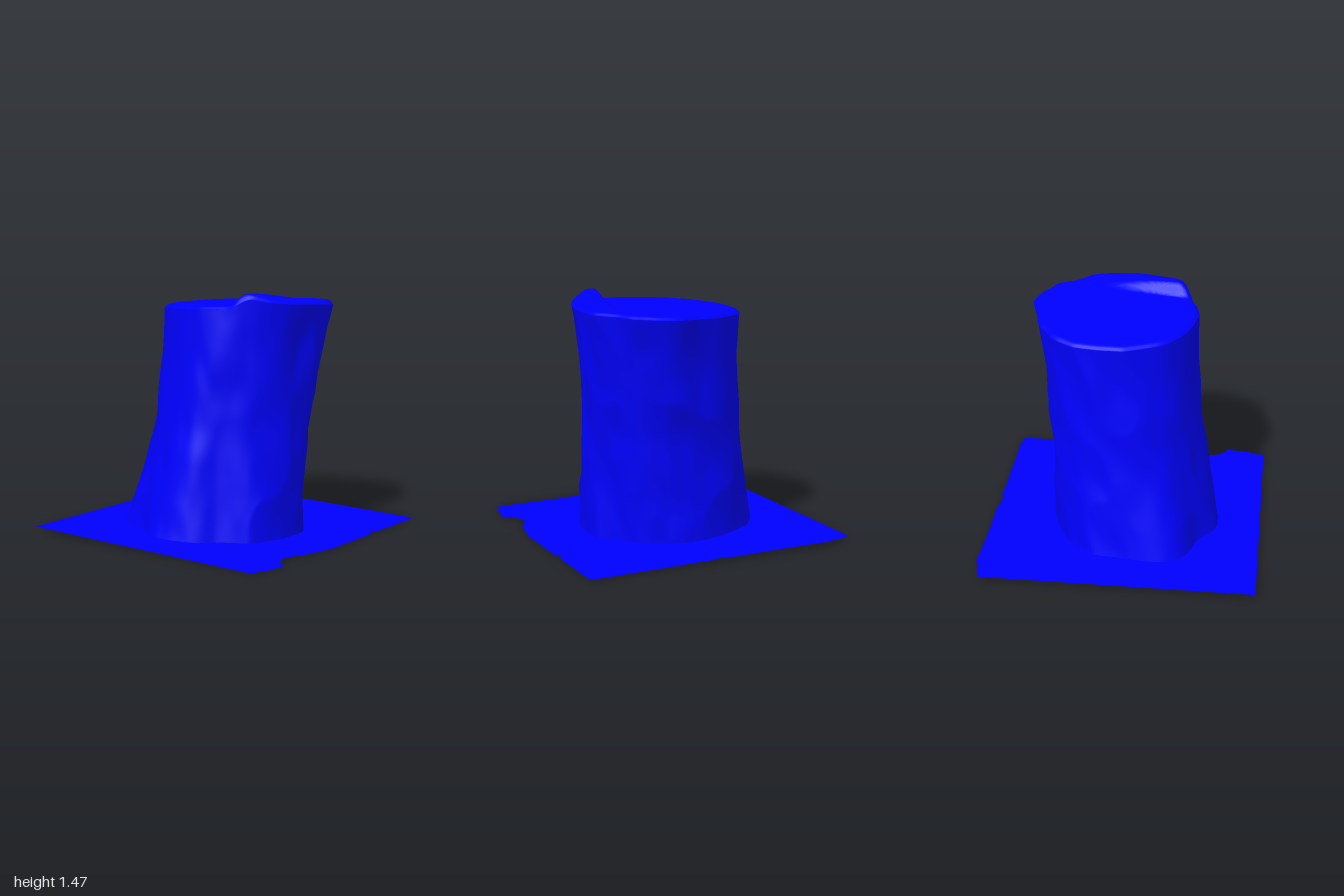
import * as THREE from 'three';

const SEG = 180, ROWS = 60, CAP = 26;
const { smoothstep, lerp } = THREE.MathUtils;

// Three guiding outlines: centre plus 16 radii, from the front round towards +x
const OUTLINES = [
  { x: 0, z: 0.05, r: [.52, .51, .48, .51, .53, .53, .52, .52, .51, .51, .53, .55, .54, .55, .58, .50] },
  { x: 0.035, z: -0.04, r: [.47, .48, .46, .48, .475, .48, .47, .47, .465, .46, .47, .48, .475, .475, .49, .475] },
  { x: 0.08, z: -0.13, r: [.51, .51, .51, .50, .49, .50, .49, .50, .51, .47, .475, .49, .50, .50, .51, .52] },
];

// Seeded value noise, periodic around the trunk
function hash(i, j, seed) {
  const s = Math.sin(i * 127.1 + j * 311.7 + seed * 74.7) * 43758.5453;
  return s - Math.floor(s);
}
function noise(u, v, period, seed) {
  const i = Math.floor(u), j = Math.floor(v);
  const a = smoothstep(u - i, 0, 1), b = smoothstep(v - j, 0, 1);
  const h = (p, q) => hash(((p % period) + period) % period, q, seed);
  return lerp(lerp(h(i, j), h(i + 1, j), a), lerp(h(i, j + 1), h(i + 1, j + 1), a), b);
}

// Bark relief: slanting ridges, broad lumps and fine streaks
function bark(a, v) {
  const lean = a + 0.07 * v;
  const ridge = 1 - Math.abs(2 * noise(lean * 13, v * 2.6, 13, 1) - 1);
  const lump = noise(lean * 22, v * 6, 22, 2) - 0.5;
  const streak = noise(lean * 45, v * 8, 45, 3) - 0.5;
  const rough = 0.55 + 0.45 * Math.cos((a - 0.35) * Math.PI * 2);
  return (0.03 * (ridge - 0.6) + 0.02 * lump + 0.009 * streak) * (0.5 + 0.6 * rough);
}

function radiusAt(r, a) {
  const f = a * 16, i = Math.floor(f), t = f - i;
  const [p, q, s, w] = [-1, 0, 1, 2].map(k => r[(i + k + 16) % 16]);
  return q + 0.5 * t * (s - p + t * (2 * p - 5 * q + 4 * s - w + t * (3 * (q - s) + w - p)));
}

// Horizontal position on the trunk at turn a (0..1) and height fraction v
function trunkPoint(a, v) {
  const w = [2 * (v - 0.5) * (v - 1), 4 * v * (1 - v), 2 * v * (v - 0.5)];
  const blend = f => w.reduce((sum, k, i) => sum + k * f(OUTLINES[i]), 0);
  const r = blend(o => radiusAt(o.r, a)) + bark(a, v);
  const t = a * Math.PI * 2;
  return [blend(o => o.x) + r * Math.sin(t), blend(o => o.z) + r * Math.cos(t)];
}

const groundHeight = x => 0.018 - 0.016 * x;

// Sawn face: nearly level, with a raised splinter on the left edge
function topHeight(x, z) {
  const along = z > 0.18 ? 1 - smoothstep(z, 0.18, 0.3) : 1 - 0.95 * smoothstep(z, -0.55, 0.18) < 0
    ? 1 : smoothstep(z, -0.45, 0.18);
  const across = smoothstep(x, 0.34, 0.4) * (1 - 0.6 * smoothstep(x, 0.42, 0.57));
  return 1.39 + 0.035 * x + 0.07 * along * across;
}

// Surface from rows of points that run round the trunk
function loft(rows, point) {
  const pos = [], index = [];
  for (let j = 0; j <= rows; j++)
    for (let i = 0; i < SEG; i++) pos.push(...point(i / SEG, j / rows));
  for (let j = 0; j < rows; j++)
    for (let i = 0; i < SEG; i++) {
      const a = j * SEG + i, b = j * SEG + (i + 1) % SEG;
      index.push(a, b, b + SEG, a, b + SEG, a + SEG);
    }
  const g = new THREE.BufferGeometry();
  g.setAttribute('position', new THREE.Float32BufferAttribute(pos, 3));
  g.setIndex(index);
  g.computeVertexNormals();
  return g;
}

export function createModel() {
  const group = new THREE.Group();
  const material = new THREE.MeshStandardMaterial({ color: 0x0000ff, side: THREE.DoubleSide });
  const add = (name, geometry) => {
    const mesh = new THREE.Mesh(geometry, material);
    mesh.name = name;
    group.add(mesh);
  };

  // Bark-covered trunk, open underneath
  add('trunk', loft(ROWS, (a, v) => {
    const [x, z] = trunkPoint(a, v);
    const [rx, rz] = trunkPoint(a, 1);
    return [x, lerp(groundHeight(x), topHeight(rx, rz) - 0.018, v), z];
  }));

  // Cut face with a softly rounded rim
  const centre = OUTLINES[2];
  add('cutTop', loft(CAP, (a, t) => {
    const [rx, rz] = trunkPoint(a, 1);
    const k = 1 - Math.pow(t, 1.4);
    const x = lerp(centre.x, rx, k), z = lerp(centre.z, rz, k);
    const drop = 0.018 * Math.pow(smoothstep(k, 0.93, 1), 2);
    return [x, topHeight(x, z) - drop, z];
  }));

  // Thin ground sheet with ragged edges and a hole under the trunk
  const edge = [
    [-1, -.61], [-.95, -.64], [-.92, -.65], [-.84, -.69], [-.6, -.735], [-.4, -.78], [-.25, -.815],
    [-.15, -.82], [-.1, -.845], [.58, -1], [.65, -1], [.75, -.57], [.73, -.54], [.77, -.5], [.84, -.2],
    [.87, -.08], [.87, .06], [.9, .07], [.86, .1], [.88, .15], [.85, .2], [.85, .28], [.9, .36],
    [.97, .38], [.985, .53], [.97, .58], [.99, .63], [-.62, 1],
  ];
  const sheet = new THREE.Shape(edge.map(([x, z]) => new THREE.Vector2(x, -z)));
  const hole = [];
  for (let i = 0; i < SEG; i++) {
    const [x, z] = trunkPoint(i / SEG, 0);
    hole.push(new THREE.Vector2(x, -z));
  }
  sheet.holes.push(new THREE.Path(hole));
  const ground = new THREE.ShapeGeometry(sheet).rotateX(-Math.PI / 2);
  const p = ground.attributes.position;
  for (let i = 0; i < p.count; i++) p.setY(i, groundHeight(p.getX(i)));
  ground.computeVertexNormals();
  add('groundSheet', ground);

  return group;
}
